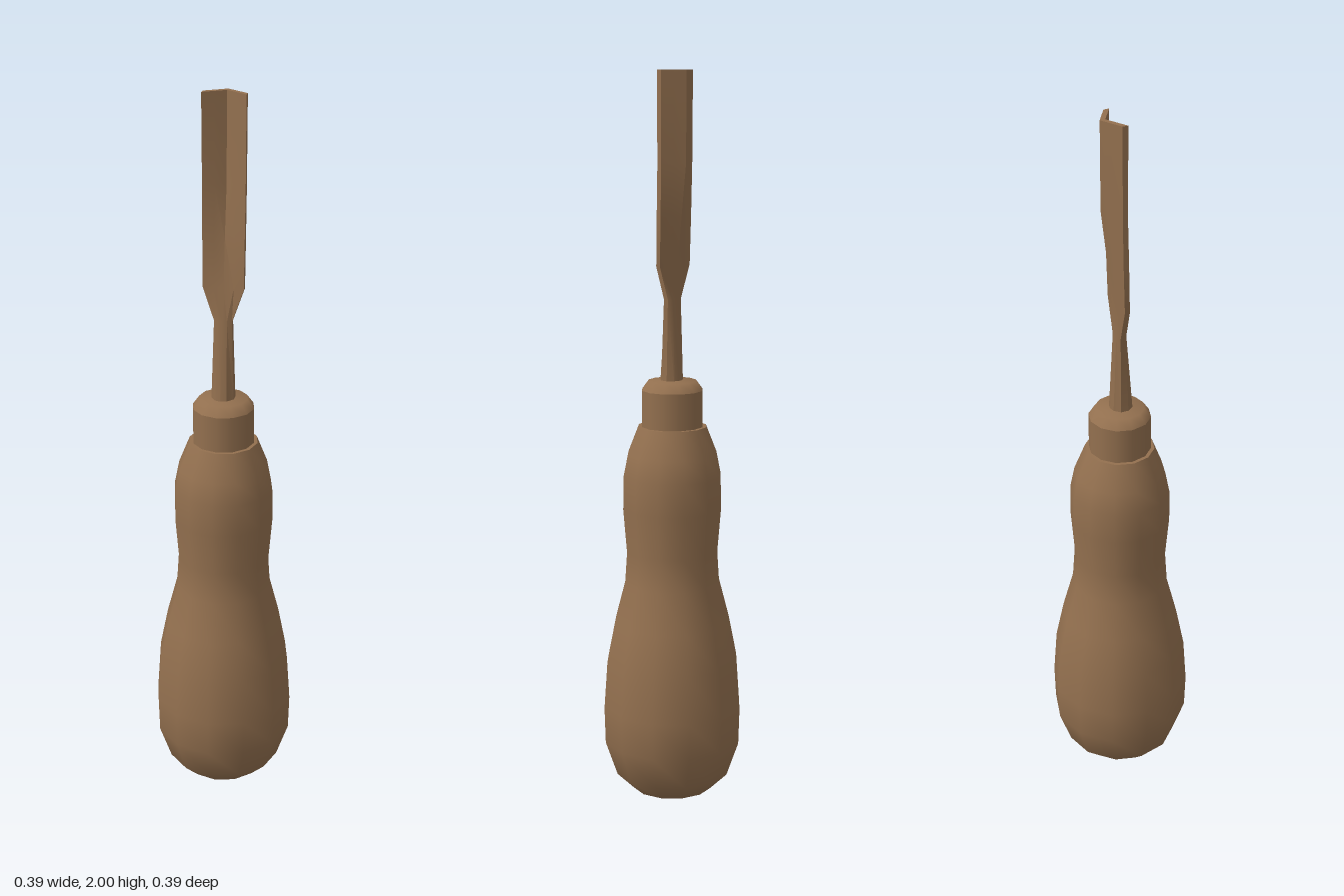
import * as THREE from 'three';
import { toCreasedNormals } from 'three/addons/utils/BufferGeometryUtils.js';

const wood = new THREE.MeshStandardMaterial({ color: 0x93704f });
wood.name = 'warm brown';

function add(group, name, geometry) {
  const mesh = new THREE.Mesh(geometry, wood);
  mesh.name = name;
  group.add(mesh);
}

// Twelve-sided turned part from [radius, height] pairs, bottom to top
function turned(profile) {
  return new THREE.LatheGeometry(profile.map(([r, y]) => new THREE.Vector2(r, y)), 12);
}

// Blade loft: each section is a front strip and a back strip of five points.
// [y, half width, front z at middle, front z at side, back z at middle, back z at side, curve power]
function bladeGeometry() {
  const sections = [
    [1.16, 0.031, 0.036, 0.012, -0.029, -0.010, 2.5],
    [1.40, 0.024, 0.015, 0.007, -0.017, -0.008, 2],
    [1.49, 0.055, -0.001, 0.004, -0.021, -0.010, 1.2],
    [1.62, 0.056, -0.015, 0.001, -0.035, -0.014, 1],
    [1.76, 0.057, -0.035, -0.003, -0.052, -0.017, 1],
    [2.00, 0.058, -0.038, -0.003, -0.053, -0.018, 1],
  ];
  const steps = [-1, -0.5, 0, 0.5, 1];
  const positions = [];
  const index = [];
  for (const [y, w, frontMid, frontSide, backMid, backSide, power] of sections) {
    const point = (t, mid, side) =>
      positions.push(t * w, y, mid + (side - mid) * Math.abs(t) ** power);
    steps.forEach((t) => point(t, frontMid, frontSide));
    steps.forEach((t) => point(-t, backMid, backSide));
  }
  // Sides
  const n = 10;
  for (let i = 0; i < sections.length - 1; i++) {
    for (let j = 0; j < n; j++) {
      const a = i * n + j;
      const b = i * n + (j + 1) % n;
      index.push(a, b, a + n, b, b + n, a + n);
    }
  }
  // Cutting end
  const top = (sections.length - 1) * n;
  for (let k = 0; k < 4; k++) {
    const a = top + k, b = a + 1, c = top + 8 - k, d = top + 9 - k;
    index.push(a, b, d, b, c, d);
  }
  const geometry = new THREE.BufferGeometry();
  geometry.setAttribute('position', new THREE.Float32BufferAttribute(positions, 3));
  geometry.setIndex(index);
  return toCreasedNormals(geometry, 0.5);
}

export function createModel() {
  const group = new THREE.Group();
  group.name = 'gouge';

  // Handle with a bulbous butt, a waist and a narrow shoulder
  add(group, 'handle', turned([
    [0, 0], [0.05, 0.006], [0.11, 0.03], [0.157, 0.075], [0.19, 0.17], [0.193, 0.27],
    [0.184, 0.40], [0.162, 0.51], [0.133, 0.62], [0.127, 0.71], [0.137, 0.83],
    [0.136, 0.92], [0.124, 0.98], [0.094, 1.056],
  ]));
  add(group, 'handleShoulder', turned([[0.094, 1.056], [0.07, 1.056]]));

  // Ferrule collar with a bevelled top
  add(group, 'ferrule', turned([[0.084, 1.05], [0.084, 1.155]]));
  add(group, 'ferruleCap', turned([[0.084, 1.155], [0.066, 1.18], [0, 1.184]]));

  // Shank flowing into the V-shaped blade
  add(group, 'blade', bladeGeometry());
  return group;
}
